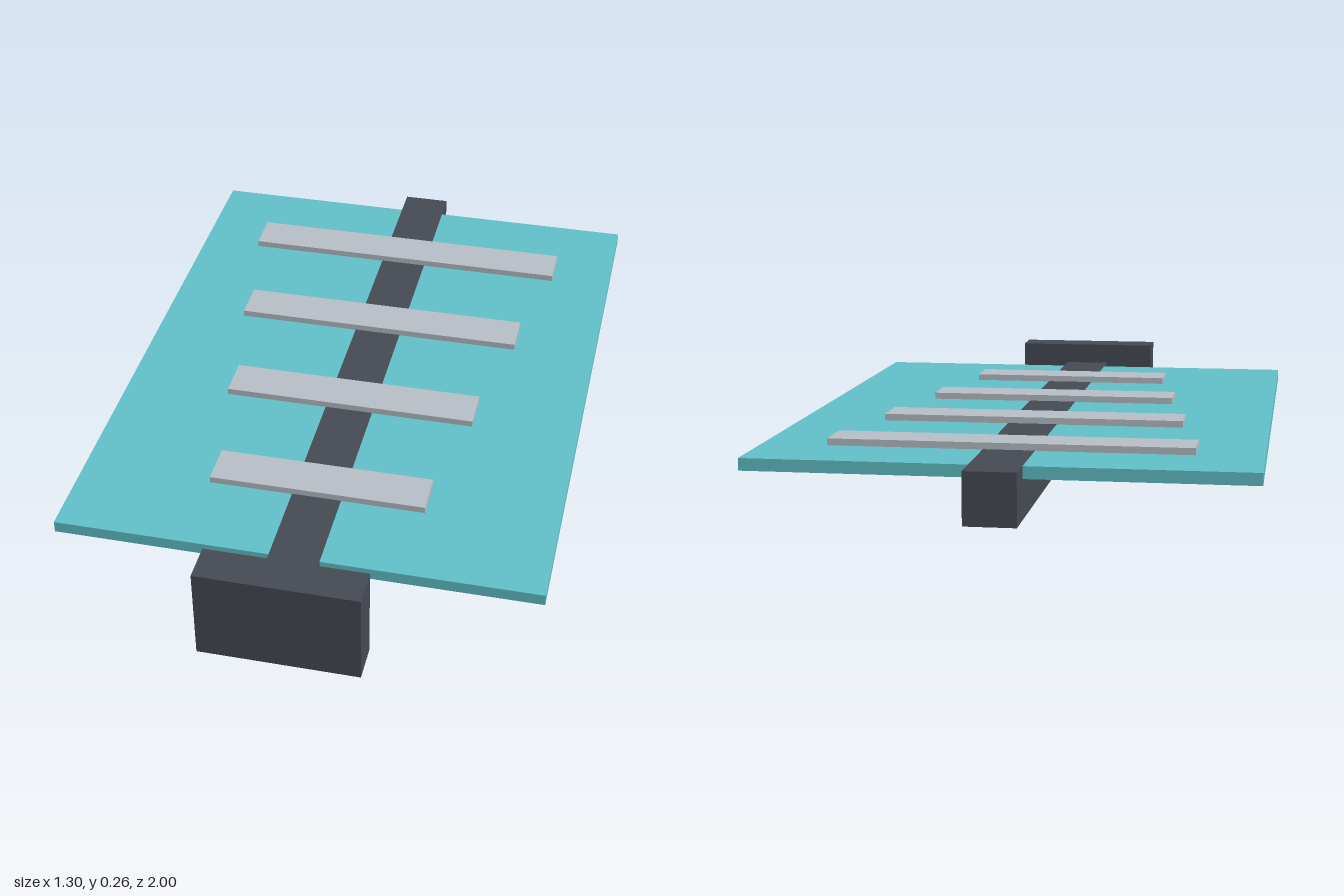
import * as THREE from 'three';

const teal = new THREE.MeshStandardMaterial({ name: 'teal', color: 0x62c3cb });
const charcoal = new THREE.MeshStandardMaterial({ name: 'charcoal', color: 0x464b54 });
const paleGrey = new THREE.MeshStandardMaterial({ name: 'paleGrey', color: 0xbac1c8 });

// Box given by its half width and its y and z limits
function slab(name, material, halfWidth, [y0, y1], [z0, z1]) {
  const geometry = new THREE.BoxGeometry(halfWidth * 2, y1 - y0, z1 - z0);
  const mesh = new THREE.Mesh(geometry, material);
  mesh.name = name;
  mesh.position.set(0, (y0 + y1) / 2, (z0 + z1) / 2);
  return mesh;
}

export function createModel() {
  const model = new THREE.Group();
  model.name = 'slattedPanel';

  // Flat panel
  model.add(slab('panel', teal, 0.648, [0.168, 0.2], [-0.915, 0.816]));

  // Central beam, its top just proud of the panel, and the block at its front end
  model.add(slab('beam', charcoal, 0.067, [0.065, 0.2008], [-1, 0.9]));
  model.add(slab('frontBlock', charcoal, 0.216, [0, 0.262], [0.897, 1]));

  // Cross slats, narrowing towards the front
  const slats = new THREE.Group();
  slats.name = 'slats';
  for (let i = 0; i < 4; i++) {
    const z = -0.657 + i * 0.39;
    slats.add(slab(`slat${i + 1}`, paleGrey, 0.474 - i * 0.06, [0.198, 0.218], [z - 0.059, z + 0.059]));
  }
  model.add(slats);

  return model;
}
